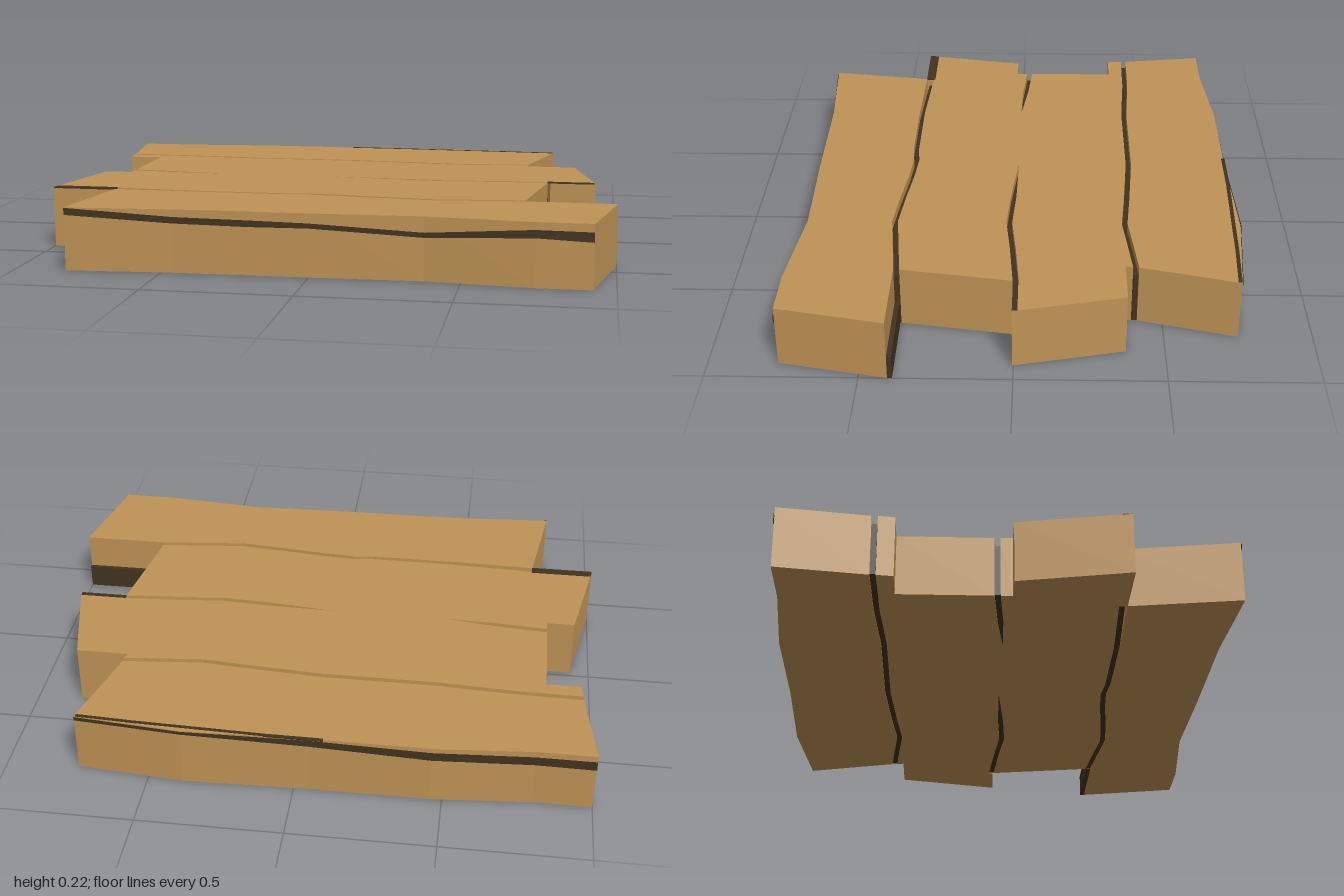
import * as THREE from 'three';

const TOP = 0.215;
const wood = new THREE.MeshStandardMaterial({ color: 0xbf9355 });
wood.name = 'wood';
const grain = new THREE.MeshStandardMaterial({ color: 0x42331f, side: THREE.DoubleSide });
grain.name = 'darkGrain';

// Upright prism from an [x, z] outline
function prism(name, outline, y0, y1, material) {
  const shape = new THREE.Shape(outline.map(([x, z]) => new THREE.Vector2(x, -z)));
  const geo = new THREE.ExtrudeGeometry(shape, { depth: y1 - y0, bevelEnabled: false });
  geo.rotateX(-Math.PI / 2).translate(0, y0, 0);
  const mesh = new THREE.Mesh(geo, material);
  mesh.name = name;
  return mesh;
}

const shift = (line, dz) => line.map(([x, z]) => [x, z + dz]);
const strip = (line, w) => [...shift(line, -w / 2), ...shift(line, w / 2).reverse()];

// Thin stripe on a side face, through points [x, z, yLow, yHigh]
function ribbon(name, points, dz) {
  const pos = [], index = [];
  points.forEach(([x, z, lo, hi], i) => {
    pos.push(x, lo, z + dz, x, hi, z + dz);
    const a = i * 2;
    // counter-clockwise as seen from the side the stripe faces
    if (i && dz > 0) index.push(a - 2, a, a - 1, a, a + 1, a - 1);
    if (i && dz < 0) index.push(a - 2, a - 1, a, a, a - 1, a + 1);
  });
  const geo = new THREE.BufferGeometry();
  geo.setAttribute('position', new THREE.Float32BufferAttribute(pos, 3));
  geo.setIndex(index);
  geo.computeVertexNormals();
  const mesh = new THREE.Mesh(geo, grain);
  mesh.name = name;
  return mesh;
}

export function createModel() {
  const group = new THREE.Group();
  group.name = 'plankPlatform';

  // Wavy seam lines between the planks
  const backSeam = [[-0.957, -0.428], [-0.72, -0.425], [-0.46, -0.41], [-0.05, -0.41],
    [0.2, -0.393], [0.38, -0.378], [0.52, -0.392], [0.662, -0.405]];
  const midLeft = [[-0.83, -0.03], [-0.65, -0.015], [-0.46, 0]];
  const midRight = [[-0.05, 0], [0.2, 0.015], [0.38, 0.026], [0.55, 0.01], [0.75, -0.004]];
  const midSeam = [...midLeft, ...midRight];
  const frontSeam = [[-0.77, 0.38], [-0.46, 0.395], [-0.15, 0.395], [-0.07, 0.387],
    [0.05, 0.395], [0.2, 0.412], [0.38, 0.428], [0.5, 0.415], [0.69, 0.396]];
  const gap = 0.01;
  const rev = (line) => [...line].reverse();

  // Gap of the middle seam closes between its two open stretches
  const midBack = midSeam.map(([x, z]) => [x, x === -0.46 || x === -0.05 ? z : z - gap]);
  const midFront = midSeam.map(([x, z]) => [x, x === -0.46 || x === -0.05 ? z : z + gap]);

  // Planks, back to front
  group.add(prism('backPlank', [
    [-1, -0.742], [-0.8, -0.742], [-0.46, -0.77], [-0.05, -0.77], [0.38, -0.783], [0.75, -0.75],
    ...rev(shift(backSeam, -gap)),
  ], 0, TOP, wood));
  group.add(prism('backMiddlePlank', [
    ...shift(backSeam, gap), [0.655, -0.37], [0.84, -0.37], [0.925, 0.005], [0.76, 0.0],
    ...rev(midBack), [-0.83, -0.362], [-0.95, -0.362],
  ], 0, TOP, wood));
  group.add(prism('frontMiddlePlank', [
    [-0.93, 0.02], [-0.83, 0.02], ...midFront,
    ...rev(shift(frontSeam, -gap)), [-0.77, 0.398], [-1, 0.398],
  ], 0, TOP, wood));
  group.add(prism('frontPlank', [
    [-0.771, 0.398], ...shift(frontSeam, gap).slice(1), [1, 0.406], [0.925, 0.77], [0.74, 0.77],
    [0.38, 0.735], [0, 0.745], [-0.46, 0.75], [-0.825, 0.775],
  ], 0, TOP, wood));

  // Dark fillers recessed in the seams
  const fillers = { backSeam, midSeamLeft: midLeft, midSeamRight: midRight, frontSeam };
  for (const [name, line] of Object.entries(fillers)) {
    group.add(prism(name, strip(line, 0.019), 0.002, 0.185, grain));
  }
  group.add(prism('frontSeamEnd', strip([[0.69, 0.398], [1, 0.398]], 0.016), 0, 0.085, grain));

  // Dark grain lines lying on the top
  const top = [TOP - 0.003, TOP + 0.001];
  group.add(prism('leftEndGrain', [[-0.994, 0.364], [-0.77, 0.364], [-0.77, 0.399], [-1, 0.399]], ...top, grain));
  group.add(prism('rightEndGrain', strip([[0.75, -0.004], [0.92, -0.004]], 0.018), ...top, grain));
  group.add(prism('backTopGrain',
    strip([[-0.1, -0.769], [0.1, -0.768], [0.35, -0.76], [0.55, -0.754], [0.745, -0.744]], 0.013), ...top, grain));

  // Dark grain lines along the front and back faces
  group.add(ribbon('frontGrain', [
    [-0.825, 0.775, 0.19, 0.214], [-0.46, 0.75, 0.168, 0.19], [-0.2, 0.748, 0.164, 0.186],
    [0, 0.745, 0.165, 0.182], [0.38, 0.735, 0.145, 0.162], [0.74, 0.77, 0.163, 0.19],
    [0.925, 0.77, 0.155, 0.188],
  ], 0.003));
  group.add(ribbon('backGrain', [
    [-1, -0.742, 0.16, 0.195], [-0.8, -0.742, 0.162, 0.195], [-0.46, -0.77, 0.168, 0.2],
    [-0.05, -0.77, 0.185, 0.21], [0.38, -0.783, 0.202, 0.214], [0.75, -0.75, 0.2, 0.214],
  ], -0.003));

  return group;
}
